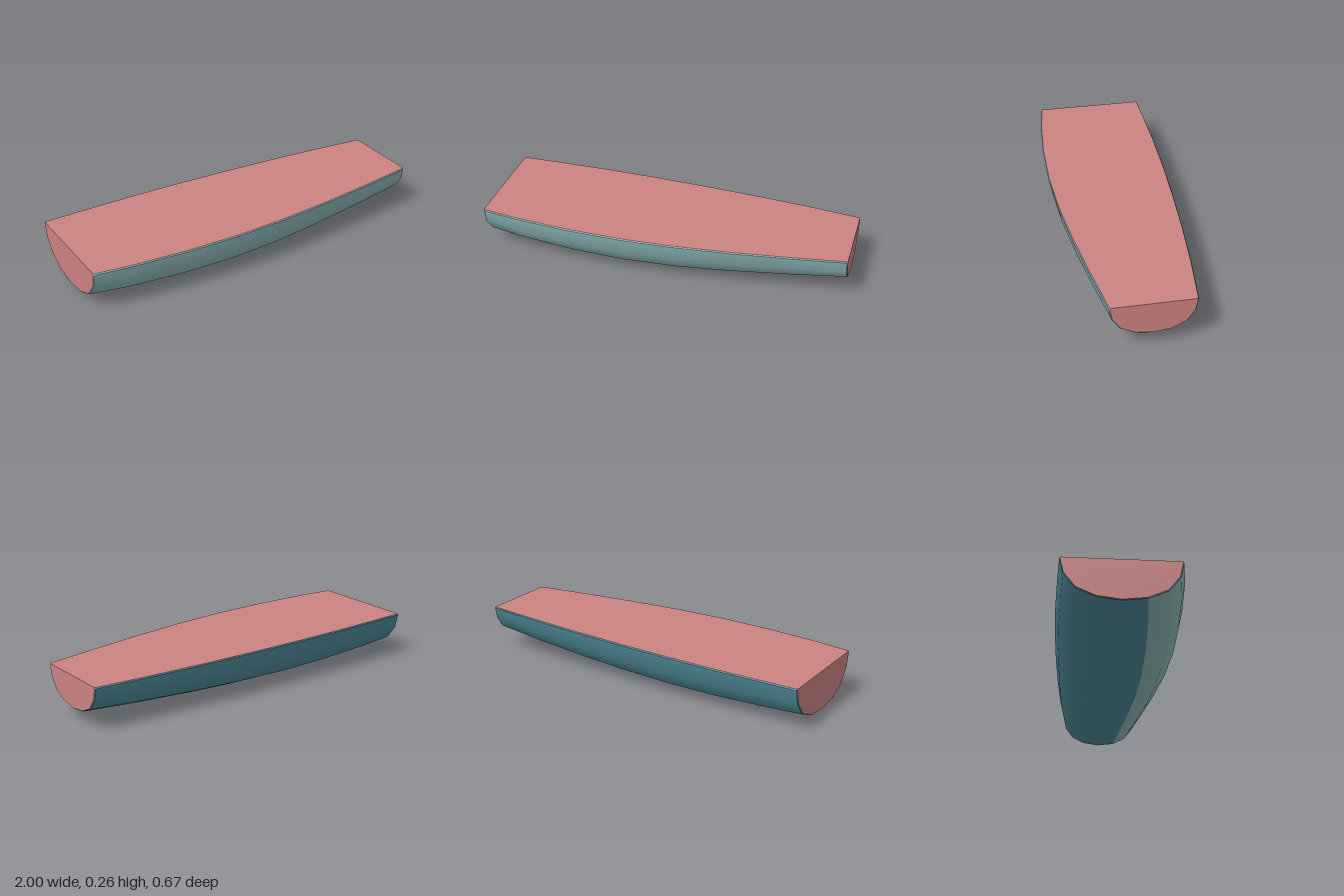
import * as THREE from 'three';
import { toCreasedNormals } from 'three/addons/utils/BufferGeometryUtils.js';

const HEIGHT = 0.26;
const BEVEL = 0.004;

// Stations along the hull: x, front half-width, back half-width, keel height
const STATIONS = [
  [-1, 0.268, 0.333, 0.038], [-0.8, 0.298, 0.336, 0.022],
  [-0.5, 0.323, 0.337, 0.006], [-0.2, 0.331, 0.33, 0.001],
  [0.1, 0.318, 0.316, 0.01], [0.4, 0.288, 0.297, 0.029],
  [0.7, 0.248, 0.271, 0.053], [1, 0.203, 0.237, 0.08],
];

// Half of the eight-sided bowl: width factor, depth factor
const BOWL = [[0.94, 0.39], [0.745, 0.73], [0.415, 0.93]];

// One cross-section, from the front rim under the keel to the back rim
function section([x, front, back, keel], inset = 0, shift = 0) {
  const w = (front + back) / 2 - inset;
  const c = (front - back) / 2;
  const d = HEIGHT - keel - inset;
  const half = [[w - BEVEL, 0], [w, 0.006], ...BOWL.map(([a, b]) => [a * w, b * d])];
  const loop = [...half, [0, d], ...half.slice().reverse().map(([z, y]) => [-z, y])];
  return loop.map(([z, y]) => [x + shift, HEIGHT - y, c + z]);
}

function geometryFrom(points, index) {
  const g = new THREE.BufferGeometry();
  g.setAttribute('position', new THREE.Float32BufferAttribute(points.flat(), 3));
  g.setIndex(index);
  return g;
}

export function createModel() {
  const paleTeal = new THREE.MeshStandardMaterial({ color: 0x8fb9bb });
  const deepTeal = new THREE.MeshStandardMaterial({ color: 0x4f8b99 });
  const rosePink = new THREE.MeshStandardMaterial({ color: 0xcc8282 });
  const model = new THREE.Group();
  model.name = 'hull';

  const add = (name, geometry, material) => {
    const mesh = new THREE.Mesh(geometry, material);
    mesh.name = name;
    model.add(mesh);
  };

  // Cross-sections, with a small bevel at each end
  const last = STATIONS.length - 1;
  const rows = [
    section(STATIONS[0], BEVEL),
    section(STATIONS[0], 0, BEVEL),
    ...STATIONS.slice(1, last).map((s) => section(s)),
    section(STATIONS[last], 0, -BEVEL),
    section(STATIONS[last], BEVEL),
  ];
  const cols = rows[0].length;
  const points = rows.flat();

  // Outer skin: pale on the front three sides, deep on the rest
  const index = [];
  for (let j = 0; j < cols - 1; j++) {
    for (let i = 0; i < rows.length - 1; i++) {
      const a = i * cols + j;
      const b = a + cols;
      index.push(a, a + 1, b + 1, a, b + 1, b);
    }
  }
  const skin = geometryFrom(points, index);
  const split = 4 * (rows.length - 1) * 6;
  skin.addGroup(0, split, 0);
  skin.addGroup(split, index.length - split, 1);
  add('outerSkin', toCreasedNormals(skin, 0.6), [paleTeal, deepTeal]);

  // Flat top between the two rims
  const deck = [];
  for (let i = 0; i < rows.length - 1; i++) {
    const a = i * cols;
    const b = a + cols;
    deck.push(a, b, b + cols - 1, a, b + cols - 1, a + cols - 1);
  }
  const deckGeometry = geometryFrom(points, deck);
  deckGeometry.computeVertexNormals();
  add('flatTop', deckGeometry, rosePink);

  // Flat end faces
  for (const [name, row, flip] of [['wideEnd', rows[0], true], ['narrowEnd', rows[rows.length - 1], false]]) {
    const fan = [];
    for (let j = 1; j < cols - 1; j++) fan.push(0, ...(flip ? [j + 1, j] : [j, j + 1]));
    const cap = geometryFrom(row, fan);
    cap.computeVertexNormals();
    add(name, cap, rosePink);
  }
  return model;
}
